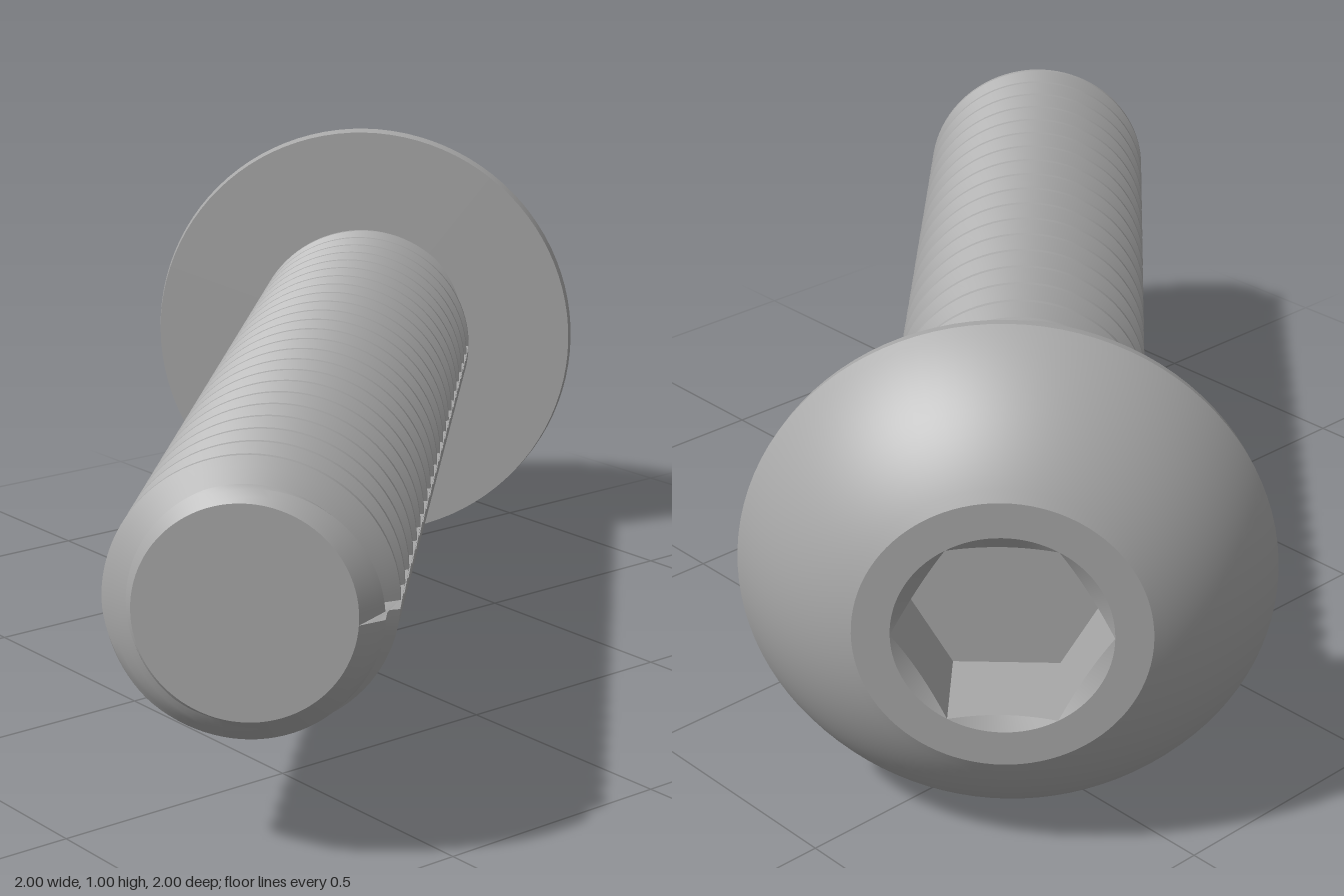
import * as THREE from 'three';
import { toCreasedNormals } from 'three/addons/utils/BufferGeometryUtils.js';

const SEGMENTS = 96;
const UNDERSIDE = -0.849, TIP = 1.216;            // stations along the screw axis (+z)
const PITCH = 0.0857, CREST = 0.26, ROOT = 0.205;

// Skin rings around the z axis; point(ring, angle) returns [radius, z].
function loft(rings, point) {
  const positions = [], index = [];
  for (let i = 0; i < rings; i++) {
    for (let j = 0; j < SEGMENTS; j++) {
      const a = (j / SEGMENTS) * Math.PI * 2;
      const [r, z] = point(i, a);
      positions.push(r * Math.cos(a), r * Math.sin(a), z);
    }
  }
  const at = (k) => new THREE.Vector3().fromArray(positions, k * 3);
  const addFace = (a, b, c) => {
    const area = at(b).sub(at(a)).cross(at(c).sub(at(a))).length();
    if (area > 1e-9) index.push(a, b, c);         // skip collapsed faces
  };
  for (let i = 0; i < rings - 1; i++) {
    for (let j = 0; j < SEGMENTS; j++) {
      const k = (j + 1) % SEGMENTS;
      const a = i * SEGMENTS + j, b = i * SEGMENTS + k;
      const c = a + SEGMENTS, d = b + SEGMENTS;
      addFace(a, b, c);
      addFace(b, d, c);
    }
  }
  const geometry = new THREE.BufferGeometry();
  geometry.setAttribute('position', new THREE.Float32BufferAttribute(positions, 3));
  geometry.setIndex(index);
  return toCreasedNormals(geometry, 0.45);
}

// Hex socket: floor, six walls and a chamfered round mouth
function socketGeometry() {
  const mouth = 0.2, top = -1.117, floor = -0.92;
  const hex = (a) => {
    const local = (a + 1e-9) % (Math.PI / 3) - Math.PI / 6;
    return mouth * Math.cos(Math.PI / 6) / Math.cos(local);
  };
  const rings = [
    () => [0, floor],
    (a) => [hex(a), floor],
    (a) => [hex(a), top + (mouth - hex(a)) * 0.6],
    () => [mouth, top],
  ];
  return loft(rings.length, (i, a) => rings[i](a));
}

// Button head: flat ring around the socket, domed side, thin rim, flat underside
function headGeometry() {
  const dome = new THREE.QuadraticBezierCurve(
    new THREE.Vector2(0.269, -1.117),
    new THREE.Vector2(0.42, -1.037),
    new THREE.Vector2(0.5, -0.877),
  ).getPoints(14).map((p) => [p.x, p.y]);
  const profile = [[0.2, -1.117], ...dome, [0.495, UNDERSIDE], [0, UNDERSIDE]];
  return loft(profile.length, (i) => profile[i]);
}

// Right-handed helical thread, trimmed by the head, the tip and the tip chamfer
function threadGeometry() {
  // fractions of one pitch, measured from the middle of a crest
  const steps = [-0.06, 0.06, 0.19, 0.31, 0.44, 0.56, 0.69, 0.81];
  const first = -0.78 - 3 * PITCH, turns = 28;
  const radius = (z, phase) => {
    const t = (z - first) / PITCH - phase;
    const off = Math.abs(t - Math.round(t));      // 0 on a crest, 0.5 in a root
    const blend = THREE.MathUtils.clamp((off - 0.06) / 0.38, 0, 1);
    return Math.min(CREST + (ROOT - CREST) * blend, 0.198 + (TIP - z));
  };
  const rings = turns * steps.length;
  return loft(rings + 1, (i, a) => {
    if (i === rings) return [0, TIP];             // end cap centre
    const phase = a / (Math.PI * 2);
    const turn = Math.floor(i / steps.length) + steps[i % steps.length];
    const z = THREE.MathUtils.clamp(first + (turn + phase) * PITCH, UNDERSIDE, TIP);
    return [radius(z, phase), z];
  });
}

export function createModel() {
  const steel = new THREE.MeshStandardMaterial({ color: 0xa8a8a8 });
  steel.name = 'steel grey';

  const model = new THREE.Group();
  model.name = 'buttonHeadScrew';
  const parts = {
    head: headGeometry(),
    hexSocket: socketGeometry(),
    threadedShank: threadGeometry(),
  };
  for (const [name, geometry] of Object.entries(parts)) {
    const mesh = new THREE.Mesh(geometry, steel);
    mesh.name = name;
    model.add(mesh);
  }
  // Lay the screw diagonally, head at the back right
  model.rotation.y = Math.PI / 4;
  model.position.y = 0.5;

  const root = new THREE.Group();
  root.name = 'screw';
  root.add(model);
  return root;
}
